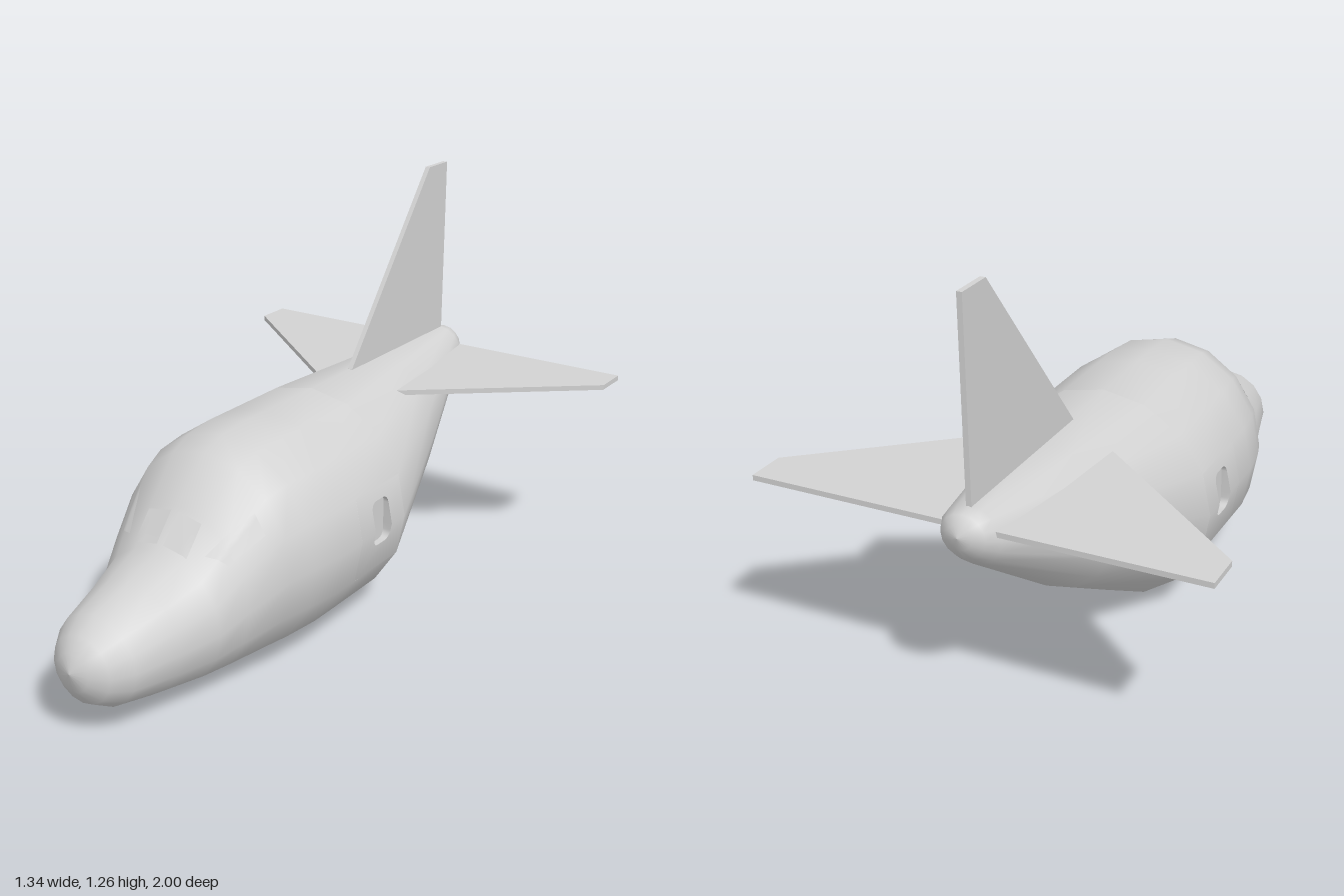
import * as THREE from 'three';

const SIDES = 16;
// Fuselage stations: z, bottom, top, half width
const FRONT = [
  [1, 0.22, 0.22, 0], [0.985, 0.16, 0.275, 0.055], [0.95, 0.11, 0.312, 0.1],
  [0.89, 0.076, 0.35, 0.14], [0.75, 0.046, 0.39, 0.177], [0.62, 0.026, 0.435, 0.215],
  [0.53, 0.014, 0.535, 0.25], [0.4, 0.005, 0.655, 0.3], [0.32, 0.003, 0.682, 0.325],
  [0.2, 0.003, 0.69, 0.345], [0.1, 0.003, 0.69, 0.345], [-0.14, 0.006, 0.69, 0.345],
];
const TAIL = [
  [-0.14, 0.006, 0.69, 0.345], [-0.53, 0.235, 0.69, 0.222], [-0.93, 0.52, 0.69, 0.09],
  [-0.97, 0.556, 0.682, 0.066], [-0.99, 0.59, 0.662, 0.038], [-1, 0.628, 0.628, 0],
];

function ringPoint([z, lo, hi, w], i) {
  const a = (i / SIDES) * Math.PI * 2;
  return new THREE.Vector3(w * Math.sin(a), (lo + hi) / 2 + ((hi - lo) / 2) * Math.cos(a), z);
}

function buildGeometry(points, index) {
  const g = new THREE.BufferGeometry().setFromPoints(points);
  g.setIndex(index);
  g.computeVertexNormals();
  return g;
}

// Skin through the stations; skip(s, i) leaves out a facet but keeps the smooth shading
function loft(stations, skip = () => false) {
  const points = [], all = [], kept = [];
  stations.forEach((st, s) => {
    for (let i = 0; i < SIDES; i++) points.push(ringPoint(st, i));
    if (s === stations.length - 1) return;
    for (let i = 0; i < SIDES; i++) {
      const a = s * SIDES + i, b = s * SIDES + ((i + 1) % SIDES);
      const quad = [a, b, a + SIDES, b, b + SIDES, a + SIDES];
      all.push(...quad);
      if (!skip(s, i)) kept.push(...quad);
    }
  });
  const g = buildGeometry(points, all);
  g.setIndex(kept);
  return g;
}

// Point on the faceted front skin at a given z and angle in degrees from the top
function skinPoint(z, deg) {
  let s = 0;
  while (s < FRONT.length - 2 && FRONT[s + 1][0] > z) s++;
  const t = (FRONT[s][0] - z) / (FRONT[s][0] - FRONT[s + 1][0]);
  const st = FRONT[s].map((v, k) => v + (FRONT[s + 1][k] - v) * t);
  const u = (deg / 360) * SIDES, i = Math.floor(u);
  return ringPoint(st, i).lerp(ringPoint(st, i + 1), u - i);
}

// Thin window pane following the skin between four [z, angle] corners
function paneGeometry(corners, side) {
  const n = 6, points = [], index = [];
  const [a, b, c, d] = corners;
  const mix = (p, q, t) => p + (q - p) * t;
  for (let j = 0; j <= n; j++) {
    for (let i = 0; i <= n; i++) {
      const [z, deg] = [0, 1].map((k) => mix(mix(a[k], b[k], i / n), mix(d[k], c[k], i / n), j / n));
      const p = skinPoint(z, deg), r = (deg * Math.PI) / 180;
      p.add(new THREE.Vector3(Math.sin(r), Math.cos(r), 0.3).multiplyScalar(0.003));
      p.x *= side;
      points.push(p);
      if (i < n && j < n) {
        const k = j * (n + 1) + i;
        const quad = [k, k + 1, k + n + 1, k + 1, k + n + 2, k + n + 1];
        index.push(...(side > 0 ? quad : quad.reverse()));
      }
    }
  }
  return buildGeometry(points, index);
}

const R = 0.345, CY = 0.3475, EDGE = Math.PI / 8;
const wallX = (y) => R - (Math.abs(y - CY) / (R * Math.sin(EDGE))) * R * (1 - Math.cos(EDGE));

// Rounded opening of the side hatch, upper part then lower part, as (z, y)
const HATCH = { z: -0.02, w: 0.045, lo: 0.3, hi: 0.44, r: 0.025 };
function hatchArc(up) {
  const { z, w, lo, hi, r } = HATCH;
  const pts = [new THREE.Vector2(z + w, CY)];
  for (const sx of [1, -1]) {
    for (let k = 0; k <= 4; k++) {
      const t = ((sx > 0 ? k : 4 - k) / 4) * (Math.PI / 2);
      const y = up ? hi - r + r * Math.sin(t) : lo + r - r * Math.sin(t);
      pts.push(new THREE.Vector2(z + sx * (w - r + r * Math.cos(t)), y));
    }
  }
  pts.push(new THREE.Vector2(z - w, CY));
  return pts;
}

// Side wall facet around half of the hatch, bent onto the hull with round normals
function hatchPanel(up, side) {
  const yEnd = CY + (up ? 1 : -1) * R * Math.sin(EDGE);
  const outline = [...hatchArc(up), new THREE.Vector2(-0.14, CY), new THREE.Vector2(-0.14, yEnd),
    new THREE.Vector2(0.1, yEnd), new THREE.Vector2(0.1, CY)];
  const g = new THREE.ShapeGeometry(new THREE.Shape(outline));
  const pos = g.attributes.position;
  for (let i = 0; i < pos.count; i++) {
    const z = pos.getX(i), y = pos.getY(i);
    const tilt = ((y - CY) / (R * Math.sin(EDGE))) * EDGE;
    pos.setXYZ(i, side * wallX(y), y, z);
    g.attributes.normal.setXYZ(i, side * Math.cos(tilt), Math.sin(tilt), 0);
  }
  // ShapeGeometry faces +z, which lands on -x after the axis swap
  if (side > 0) g.setIndex(Array.from(g.index.array).reverse());
  return g;
}

function hatchRecess(side) {
  const loop = [...hatchArc(true), ...hatchArc(false).reverse().slice(1, -1)];
  const n = loop.length, points = [], index = [], depth = 0.314;
  for (const p of loop) {
    points.push(new THREE.Vector3(side * wallX(p.y), p.y, p.x), new THREE.Vector3(side * depth, p.y, p.x));
  }
  for (let i = 0; i < n; i++) {
    const a = 2 * i, b = 2 * ((i + 1) % n);
    const quad = [a, a + 1, b, b, a + 1, b + 1];
    index.push(...(side > 0 ? quad : quad.reverse()));
  }
  const back = loop.map((p) => new THREE.Vector3(side * depth, p.y, p.x));
  const fan = [];
  for (let i = 1; i < n - 1; i++) fan.push(0, ...(side > 0 ? [i + 1, i] : [i, i + 1]));
  return [buildGeometry(points, index), buildGeometry(back, fan)];
}

// Flat plate from an outline, centred on its thickness
function plate(outline, thickness) {
  const shape = new THREE.Shape(outline.map(([x, y]) => new THREE.Vector2(x, y)));
  return new THREE.ExtrudeGeometry(shape, { depth: thickness, bevelEnabled: false })
    .translate(0, 0, -thickness / 2);
}

export function createModel() {
  const group = new THREE.Group();
  const grey = new THREE.MeshStandardMaterial({ color: 0xd2d2d2, side: THREE.DoubleSide });
  grey.name = 'light grey';
  const add = (name, geometry) => {
    const mesh = new THREE.Mesh(geometry, grey);
    mesh.name = name;
    group.add(mesh);
    return mesh;
  };

  // Hull, open where the hatch panels sit
  const last = FRONT.length - 2;
  add('frontFuselage', loft(FRONT, (s, i) => s === last && [3, 4, 11, 12].includes(i)));
  add('tailCone', loft(TAIL));

  // Hatches, cockpit panes and tailplanes on both sides
  for (const side of [1, -1]) {
    const label = side > 0 ? 'left' : 'right';
    for (const up of [true, false]) add(label + (up ? 'UpperHatchPanel' : 'LowerHatchPanel'), hatchPanel(up, side));
    const [rim, back] = hatchRecess(side);
    add(label + 'HatchRim', rim);
    add(label + 'Hatch', back);
    add(label + 'Windshield', paneGeometry([[0.61, 3], [0.61, 25], [0.54, 22], [0.54, 3]], side));
    add(label + 'SideWindow', paneGeometry([[0.58, 36], [0.55, 54], [0.44, 58], [0.44, 45]], side));

    const outline = [[0.05, 0.32], [0.15, 0.4], [0.67, 0.825], [0.67, 0.94], [0.05, 0.94]];
    const tailplane = add(label + 'Tailplane', plate(outline.map(([x, y]) => [side * x, y]), 0.016));
    tailplane.rotation.x = -Math.PI / 2;
    tailplane.position.y = 0.628;
  }

  // Upright fin
  const fin = add('tailFin', plate([[0.36, 0.69], [0.82, 1.265], [0.935, 1.265], [0.935, 0.64], [0.36, 0.64]], 0.016));
  fin.rotation.y = Math.PI / 2;
  return group;
}
